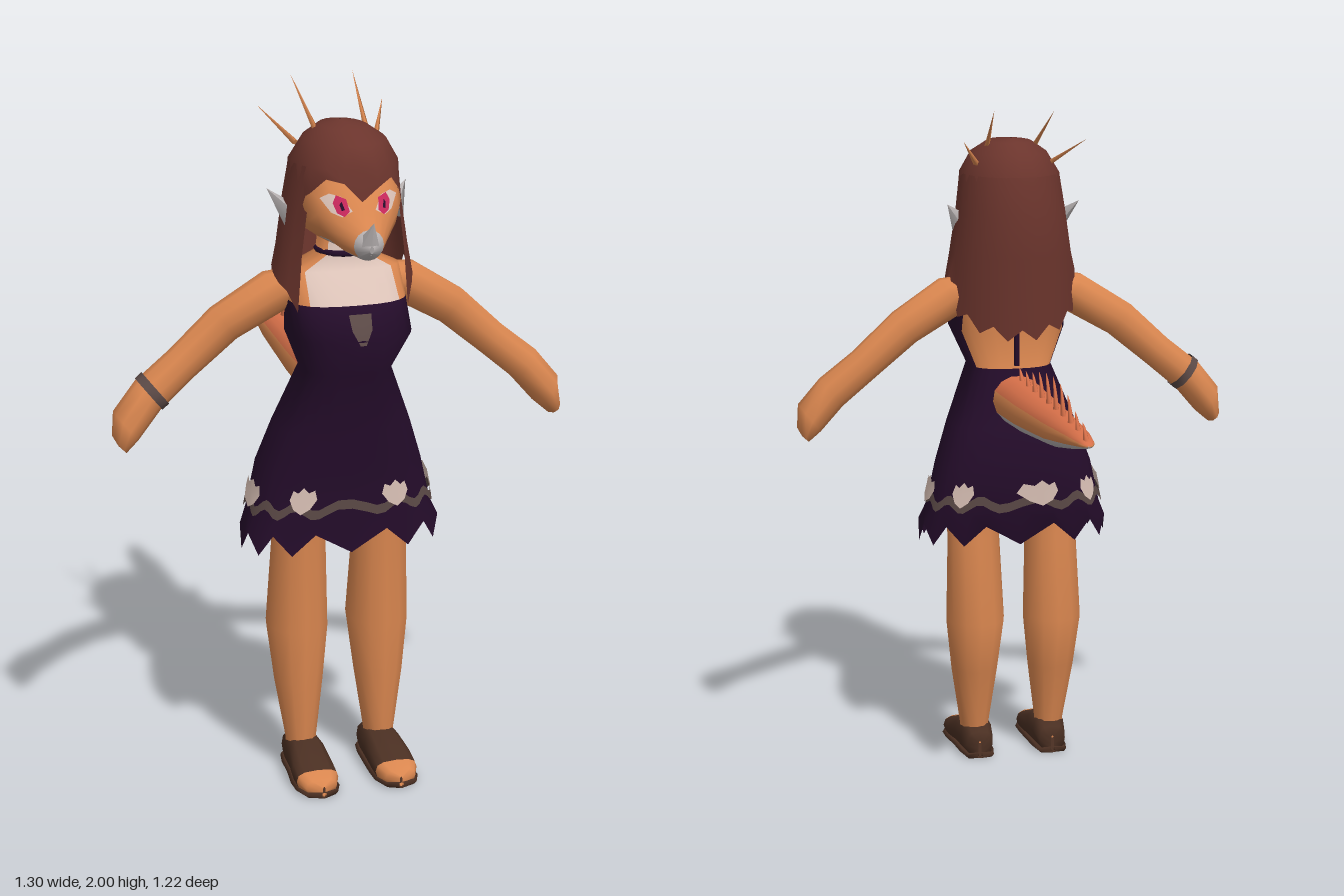
import * as THREE from 'three';

const V = (x, y, z) => new THREE.Vector3(x, y, z);
const mat = (name, color) => {
  const m = new THREE.MeshStandardMaterial({ color, side: THREE.DoubleSide });
  m.name = name;
  return m;
};

// Ring of n points round c; power below 1 makes it squarer
function ring(c, u, v, n = 12, power = 1) {
  const soft = (t) => Math.sign(t) * Math.abs(t) ** power;
  return Array.from({ length: n }, (_, j) => {
    const a = (j / n) * Math.PI * 2;
    return c.clone().addScaledVector(u, soft(Math.cos(a))).addScaledVector(v, soft(Math.sin(a)));
  });
}

// Skin over rings of points; pick(i, j) gives the material slot of a quad
function loft(rings, closed = true, pick = () => 0, slots = 1) {
  const n = rings[0].length;
  const buckets = Array.from({ length: slots }, () => []);
  for (let i = 0; i < rings.length - 1; i++) {
    for (let j = 0; j < (closed ? n : n - 1); j++) {
      const k = (j + 1) % n;
      const a = i * n + j, b = i * n + k, c = b + n, d = a + n;
      buckets[pick(i, j)].push(a, c, b, a, d, c);
    }
  }
  const geo = new THREE.BufferGeometry().setFromPoints(rings.flat());
  geo.setIndex(buckets.flat());
  let start = 0;
  if (slots > 1) buckets.forEach((b, s) => { geo.addGroup(start, b.length, s); start += b.length; });
  geo.computeVertexNormals();
  return geo;
}

// Thin polygon whose 2D points are mapped onto a surface
function patch(points, map) {
  const mid = [0, 1].map((k) => points.reduce((s, p) => s + p[k], 0) / points.length);
  const geo = new THREE.BufferGeometry().setFromPoints([mid, ...points].map(([a, b]) => map(a, b)));
  const idx = points.flatMap((_, i) => [0, i + 1, ((i + 1) % points.length) + 1]);
  geo.setIndex(idx);
  geo.computeVertexNormals();
  return geo;
}

function mirrored(geo) {
  const g = geo.clone().scale(-1, 1, 1);
  const ix = g.index.array;
  for (let i = 0; i < ix.length; i += 3) [ix[i], ix[i + 1]] = [ix[i + 1], ix[i]];
  g.computeVertexNormals();
  return g;
}

function spike(base, tip, r, sides = 4) {
  const dir = tip.clone().sub(base), len = dir.length();
  const g = new THREE.ConeGeometry(r, len, sides).translate(0, len / 2, 0);
  g.applyQuaternion(new THREE.Quaternion().setFromUnitVectors(V(0, 1, 0), dir.normalize()));
  return g.translate(base.x, base.y, base.z);
}

export function createModel() {
  const skin = mat('skin', 0xd9864f), tailTop = mat('tailBack', 0xd9714a), dress = mat('dress', 0x240c2a);
  const hair = mat('hair', 0x6c352d), cream = mat('cream', 0xdcc3b8), grey = mat('paleGrey', 0xb8b2b2);
  const shoe = mat('shoe', 0x4a2f22), taupe = mat('taupe', 0x5c4a47), pink = mat('pink', 0xc8285c);
  const root = new THREE.Group();
  const add = (name, geo, m) => {
    const mesh = new THREE.Mesh(geo, m);
    mesh.name = name;
    root.add(mesh);
  };
  const pair = (name, geo, m) => {
    add(name + 'Left', geo, m);
    add(name + 'Right', mirrored(geo), m);
  };

  // Body and dress: y, half width, back z, front z
  const body = [[0.7, 0.288, 0.19, 0.43], [0.8, 0.265, 0.165, 0.43], [0.93, 0.235, 0.155, 0.435],
    [1.05, 0.193, 0.18, 0.455], [1.22, 0.125, 0.24, 0.468], [1.33, 0.172, 0.24, 0.525],
    [1.42, 0.165, 0.24, 0.475], [1.5, 0.16, 0.25, 0.4], [1.54, 0.07, 0.26, 0.38], [1.64, 0.06, 0.27, 0.38]];
  const slice = ([y, rx, zb, zf], n, power) => ring(V(0, y, (zb + zf) / 2), V(rx, 0, 0), V(0, 0, (zf - zb) / 2), n, power);
  const rows = body.map((r) => slice(r, 24, 0.75));
  rows[0].forEach((p, j) => { p.y = j % 2 ? 0.75 : 0.69; });
  const bodyPick = (i, j) => {
    const s = Math.sin(((j + 0.5) / 24) * Math.PI * 2);
    if (i < 4) return 0;
    if (i < 6) return s > -0.45 ? 0 : 1;
    return s > 0.75 ? 2 : 1;
  };
  add('bodyAndDress', loft(rows, true, bodyPick, 3), [dress, skin, cream]);

  // Painted dress details follow the dress surface
  const onDress = (deg, y) => {
    let i = 0;
    while (i < body.length - 2 && y > body[i + 1][0]) i++;
    const t = (y - body[i][0]) / (body[i + 1][0] - body[i][0]);
    const [, rx, zb, zf] = body[i].map((v, k) => v + (body[i + 1][k] - v) * t);
    const a = THREE.MathUtils.degToRad(deg), c = Math.cos(a), s = Math.sin(a);
    const f = (v) => Math.sign(v) * Math.abs(v) ** 0.75;
    return V((rx + 0.007) * f(c), y, (zb + zf) / 2 + ((zf - zb) / 2 + 0.007) * f(s));
  };
  const wave = (off) => Array.from({ length: 72 }, (_, j) => onDress(j * 5, 0.825 + off + 0.014 * Math.sin(j * 0.35 * Math.PI)));
  add('hemWave', loft([wave(-0.014), wave(0.014)]), taupe);
  const petals = [[-1, 0.1], [-0.6, -0.6], [0, -1], [0.6, -0.6], [1, 0.1], [0.8, 0.8], [0.4, 0.6], [0, 1], [-0.4, 0.6], [-0.8, 0.8]];
  for (const deg of [0, 67, 117, 176, 222, 262, 308]) {
    const wide = Math.abs(Math.sin(THREE.MathUtils.degToRad(deg))) > 0.6 ? 10 : 16;
    add('hemFlower', patch(petals.map(([a, b]) => [deg + a * wide, 0.855 + b * 0.04]),
      (a, y) => onDress(a, y).add(V(Math.cos(a * Math.PI / 180) * 0.003, 0, Math.sin(a * Math.PI / 180) * 0.003))), cream);
  }
  add('bodiceLace', patch([[84, 1.4], [96, 1.4], [95, 1.36], [91, 1.32], [89, 1.32], [85, 1.36]], onDress), taupe);

  // Collar and back strap
  add('collar', new THREE.TorusGeometry(0.068, 0.009, 5, 18).rotateX(Math.PI / 2).translate(0, 1.545, 0.32), dress);
  const strap = new THREE.CatmullRomCurve3([V(0, 1.54, 0.25), V(0, 1.42, 0.236), V(0, 1.23, 0.236)]);
  add('backStrap', new THREE.TubeGeometry(strap, 6, 0.008, 5), dress);

  // Legs: y, x, z, half width, half depth
  const leg = [[0.04, 0.118, 0.315, 0.04, 0.045], [0.1, 0.118, 0.32, 0.045, 0.05], [0.28, 0.12, 0.303, 0.072, 0.075],
    [0.44, 0.12, 0.288, 0.09, 0.097], [0.7, 0.12, 0.308, 0.08, 0.073], [0.85, 0.115, 0.31, 0.095, 0.085], [1.02, 0.08, 0.31, 0.08, 0.09]];
  pair('leg', loft(leg.map(([y, x, z, rx, rz]) => ring(V(x, y, z), V(rx, 0, 0), V(0, 0, rz)))), skin);

  // Shoes with open toes: z, x, half width, height
  const foot = [[0.25, 0.115, 0.005, 0.05], [0.252, 0.115, 0.04, 0.08], [0.3, 0.115, 0.05, 0.105], [0.37, 0.115, 0.055, 0.1],
    [0.44, 0.118, 0.062, 0.075], [0.49, 0.118, 0.062, 0.058], [0.53, 0.118, 0.045, 0.046], [0.545, 0.115, 0.004, 0.03]];
  pair('shoe', loft(foot.map(([z, x, rx, h]) => ring(V(x, h / 2 + 0.004, z), V(rx, 0, 0), V(0, -h / 2, 0), 12, 0.7)),
    true, (i) => (i > 4 ? 1 : 0), 2), [shoe, skin]);
  const sole = foot.map(([z, x, rx]) => ring(V(x, 0.009, z + (z - 0.4) * 0.03), V(rx + 0.003, 0, 0), V(0, -0.009, 0), 8, 0.5));
  pair('sole', loft(sole), shoe);

  // Arms: x, y, half height, half depth, z
  const arm = [[0.09, 1.46, 0.05, 0.05, 0.31], [0.18, 1.44, 0.063, 0.06, 0.31], [0.33, 1.35, 0.058, 0.045, 0.295],
    [0.45, 1.245, 0.052, 0.045, 0.295], [0.55, 1.163, 0.054, 0.052, 0.303], [0.615, 1.086, 0.052, 0.064, 0.314],
    [0.635, 1.035, 0.025, 0.06, 0.316], [0.637, 1.03, 0.002, 0.004, 0.316]];
  const armRing = ([x, y, h, d, z]) => ring(V(x, y, z), V(0, 0, d), V(0.62 * h, 0.78 * h, 0), 10);
  pair('arm', loft(arm.map(armRing)), skin);
  add('wristBand', mirrored(loft([[0.527, 1.183, 0.058, 0.055, 0.302], [0.546, 1.167, 0.058, 0.056, 0.303]].map(armRing))), taupe);

  // Head and snout: z, centre y, half width, half height
  const head = [[0.16, 1.7, 0.005, 0.005], [0.2, 1.7, 0.1, 0.12], [0.3, 1.7, 0.135, 0.14], [0.42, 1.695, 0.138, 0.12],
    [0.47, 1.68, 0.115, 0.1], [0.515, 1.635, 0.074, 0.068], [0.565, 1.61, 0.042, 0.042], [0.592, 1.603, 0.006, 0.01]];
  add('head', loft(head.map(([z, y, rx, ry]) => ring(V(0, y, z), V(rx, 0, 0), V(0, -ry, 0), 16)), true,
    (i, j) => (i === 6 || (i > 2 && j > 1 && j < 6) ? 1 : 0), 2), [skin, grey]);
  add('noseHorn', spike(V(0, 1.605, 0.558), V(0, 1.68, 0.608), 0.034, 6), grey);

  // Eyes lie on the face: march back from the snout until the point is on the head
  const onFace = (lift) => (x, y) => {
    for (let z = 0.59; z > 0.3; z -= 0.002) {
      const i = head.findIndex((h, k) => k < 7 && z >= h[0] && z <= head[k + 1][0]);
      const t = (z - head[i][0]) / (head[i + 1][0] - head[i][0]);
      const [, cy, rx, ry] = head[i].map((v, k) => v + (head[i + 1][k] - v) * t);
      if ((x / rx) ** 2 + ((y - cy) / ry) ** 2 <= 1) return V(x, y, z + lift);
    }
    return V(x, y, 0.42);
  };
  pair('eyeWhite', patch([[0.032, 1.695], [0.06, 1.68], [0.085, 1.69], [0.108, 1.725], [0.085, 1.738], [0.055, 1.73]], onFace(0.006)), cream);
  pair('iris', patch([[0.04, 1.695], [0.055, 1.682], [0.072, 1.69], [0.08, 1.715], [0.07, 1.735], [0.045, 1.725]], onFace(0.01)), pink);
  pair('pupil', patch([[0.053, 1.7], [0.061, 1.697], [0.065, 1.712], [0.059, 1.72]], onFace(0.014)), dress);

  // Hair cap with a ragged fringe: y, half width, back z, front z
  const cap = [[1.72, 0.155, 0.15, 0.508], [1.8, 0.148, 0.165, 0.5], [1.86, 0.112, 0.2, 0.478],
    [1.892, 0.065, 0.24, 0.42], [1.902, 0.003, 0.3, 0.31]].map((r) => slice(r, 20));
  const fringe = [1.7, 1.73, 1.77, 1.75, 1.715, 1.765, 1.775, 1.73, 1.7];
  cap[0].forEach((p, j) => { if (j > 0 && j < 10) p.y = fringe[j - 1]; });
  add('hairCap', loft(cap), hair);

  // Long hair, open over the face
  const N = 20;
  const curtain = [[1.45, 0.197, 0.16, 0.5], [1.56, 0.182, 0.145, 0.5], [1.69, 0.162, 0.138, 0.5], [1.8, 0.147, 0.164, 0.5]]
    .map(([y, rx, zb, zf], i) => Array.from({ length: N + 1 }, (_, j) => {
      const a = THREE.MathUtils.degToRad(143 + (254 * j) / N), back = Math.max(0, -Math.sin(a));
      const side = Math.min(j, N - j);
      const tip = side === 0 ? 1.4 : side < 5 ? 1.44 + side * 0.016 : 1.47 - 0.12 * back - (j % 2) * 0.035;
      return V(rx * Math.cos(a), i ? y : tip, (zb + zf) / 2 + ((zf - zb) / 2) * Math.sin(a));
    }));
  add('longHair', loft(curtain, false), hair);

  // Ear fins and head spines
  pair('ear', spike(V(0.14, 1.645, 0.34), V(0.2, 1.715, 0.275), 0.036), grey);
  pair('innerSpine', spike(V(0.07, 1.865, 0.33), V(0.09, 2.0, 0.13), 0.009), skin);
  pair('outerSpine', spike(V(0.115, 1.835, 0.265), V(0.183, 1.915, 0.118), 0.009), skin);

  // Tail: z, half width, top y, bottom y
  const tail = [[0.24, 0.078, 1.2, 1.055], [0.15, 0.076, 1.2, 1.06], [0, 0.071, 1.2, 1.068], [-0.3, 0.056, 1.2, 1.1],
    [-0.48, 0.04, 1.195, 1.135], [-0.58, 0.025, 1.185, 1.158], [-0.605, 0.014, 1.178, 1.164], [-0.61, 0.002, 1.172, 1.168]];
  add('tail', loft(tail.map(([z, rx, t, b]) => ring(V(0, (t + b) / 2, z), V(rx, 0, 0), V(0, (t - b) / 2, 0), 14)), true,
    (i, j) => (j > 7 && j < 13 ? 2 : j > 0 && j < 6 ? 1 : 0), 3), [skin, tailTop, grey]);

  // Curved spikes along the tail
  for (let k = 0; k < 10; k++) {
    const z = 0.165 - k * 0.083, h = 0.04 + 0.055 * Math.sin((Math.PI * k) / 10) ** 2;
    const y = k > 7 ? 1.178 : 1.19;
    const curve = [[0, 0, 0.015], [0.45, 0.008, 0.01], [0.8, 0.022, 0.006], [1, 0.036, 0.001]];
    add('tailSpike', loft(curve.map(([t, dz, r]) => ring(V(0, y + h * t, z + dz), V(r * 0.6, 0, 0), V(0, 0, r), 6))), tailTop);
  }
  return root;
}
